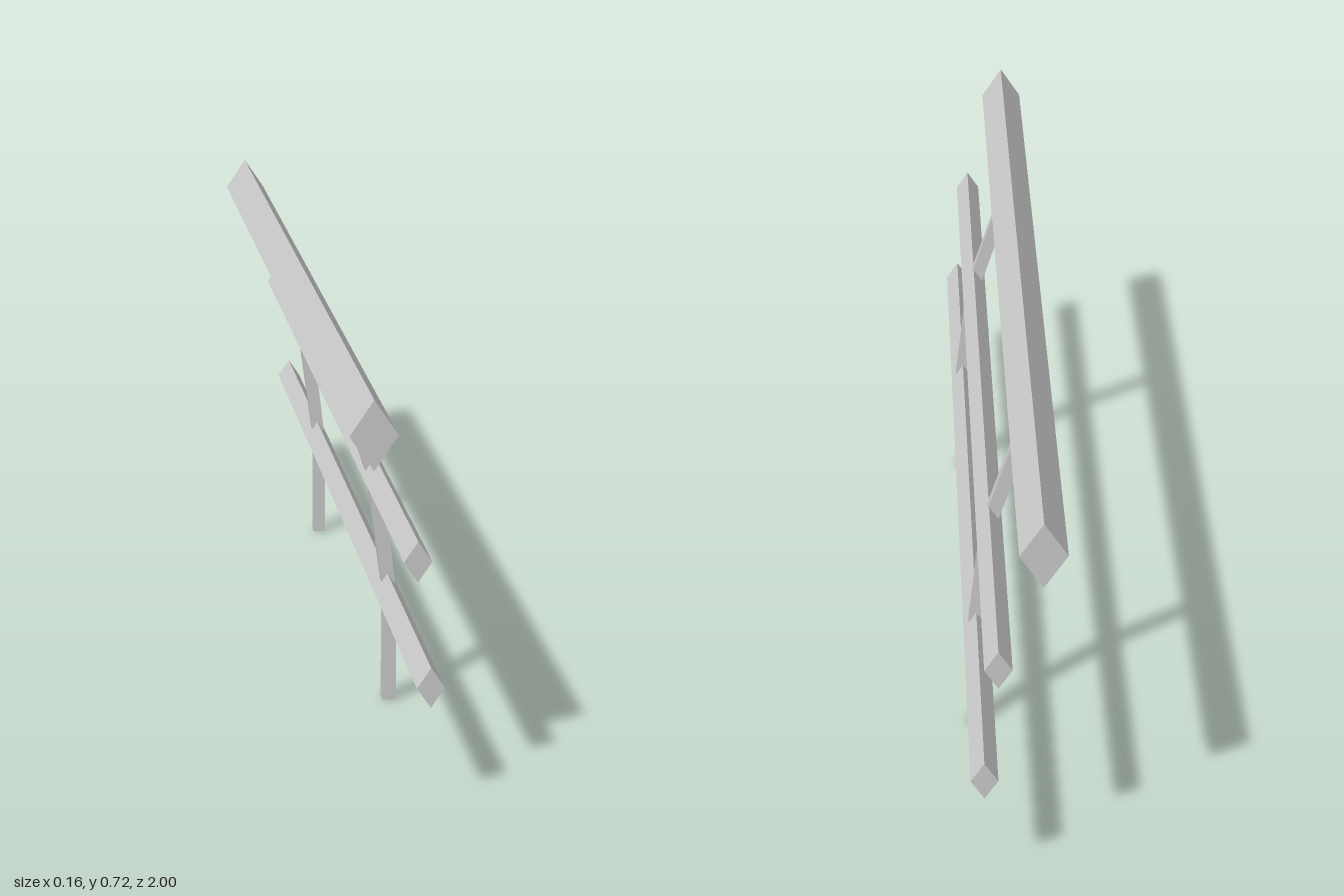
import * as THREE from 'three';

const material = new THREE.MeshStandardMaterial({ color: 0xcccccc, flatShading: true });

// Extrudes an outline in the xy plane along z, centred on the given z
function extruded(name, points, depth, z = 0) {
  const shape = new THREE.Shape(points.map(([x, y]) => new THREE.Vector2(x, y)));
  const geometry = new THREE.ExtrudeGeometry(shape, { depth, bevelEnabled: false });
  geometry.translate(0, 0, z - depth / 2);
  const mesh = new THREE.Mesh(geometry, material);
  mesh.name = name;
  return mesh;
}

// Long rail with a diamond cross-section
function rail(name, x, y, halfWidth, halfHeight) {
  return extruded(name, [
    [x + halfWidth, y], [x, y + halfHeight], [x - halfWidth, y], [x, y - halfHeight],
  ], 2);
}

export function createModel() {
  const group = new THREE.Group();
  group.name = 'railing';

  group.add(
    rail('topRail', -0.042, 0.659, 0.041, 0.061),
    rail('middleRail', 0.033, 0.437, 0.024, 0.036),
    rail('lowerRail', 0.057, 0.212, 0.024, 0.036),
  );

  // Posts bend inside the rails and lean towards -x as they rise
  const post = [
    [0.074, 0], [0.074, 0.205], [0.0465, 0.437], [-0.029, 0.66],
    [-0.055, 0.66], [0.019, 0.437], [0.049, 0.212], [0.049, 0],
  ];
  group.add(
    extruded('frontPost', post, 0.023, 0.5),
    extruded('backPost', post, 0.023, -0.5),
  );

  return group;
}
